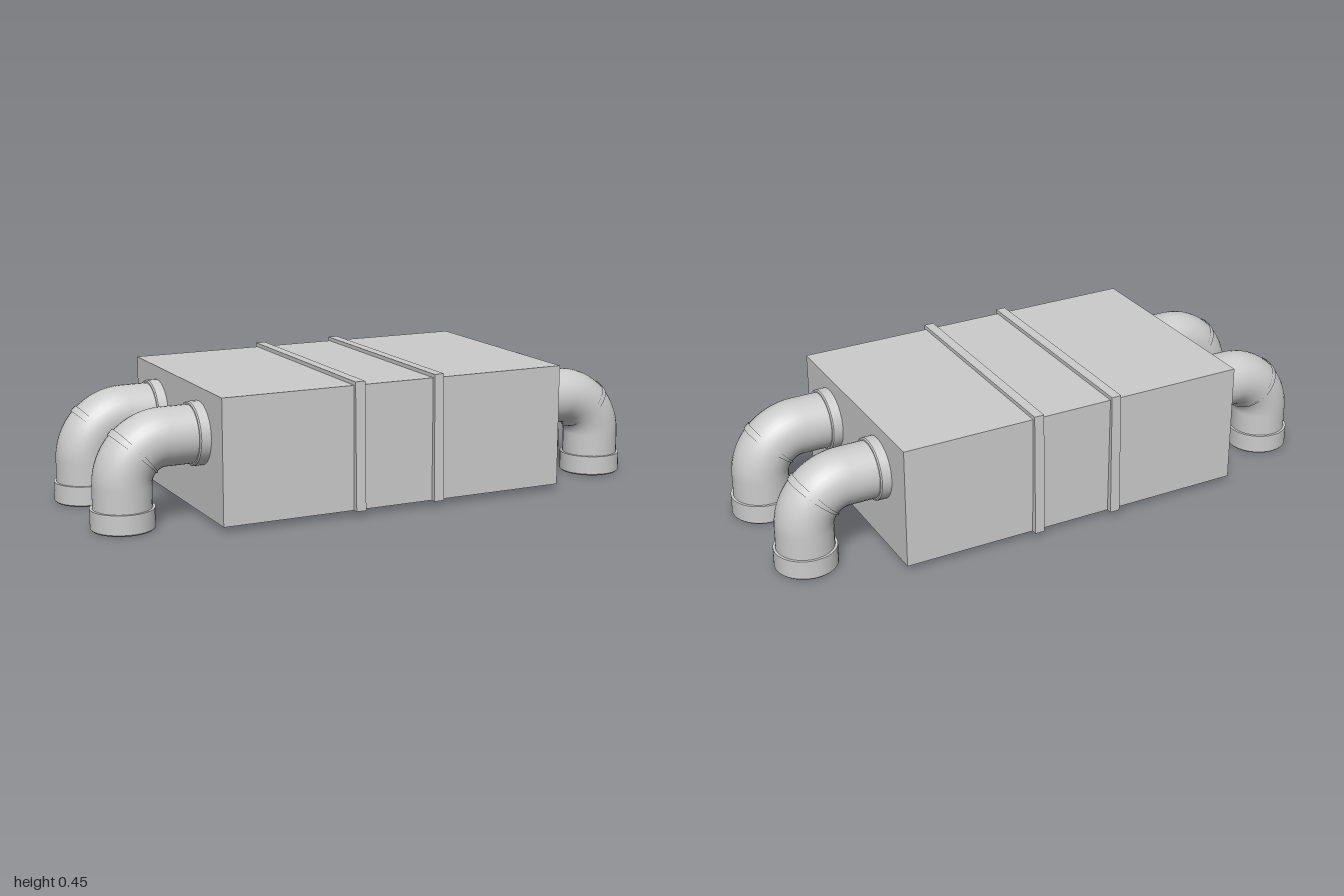
import * as THREE from 'three';

const material = new THREE.MeshStandardMaterial({ color: 0xcccccc, side: THREE.DoubleSide });

function add(parent, name, geometry, x = 0, y = 0, z = 0) {
  const mesh = new THREE.Mesh(geometry, material);
  mesh.name = name;
  mesh.position.set(x, y, z);
  parent.add(mesh);
  return mesh;
}

// Closed ring with a small bevel on its lower rim, from y = 0 up to h
function collarGeometry(r, h, bevel) {
  const rims = [[0, 0], [r - bevel, 0], [r - bevel, 0], [r, bevel], [r, bevel], [r, h], [r, h], [0, h]];
  return new THREE.LatheGeometry(rims.map(([x, y]) => new THREE.Vector2(x, y)), 32);
}

const PIPE = 0.097, COLLAR = 0.106, BEND = 0.143;
const CX = 0.75, CY = 0.145; // centre of the bend

// Pipe leaving the +x wall and turning down to the floor
function createPipe() {
  const pipe = new THREE.Group();
  const axisY = CY + BEND, axisX = CX + BEND;

  const wall = add(pipe, 'wallCollar', collarGeometry(COLLAR, 0.04, 0.004), 0.662, axisY);
  wall.rotation.z = Math.PI / 2;

  const run = add(pipe, 'horizontalPipe',
    new THREE.CylinderGeometry(PIPE, PIPE, CX - 0.62, 32, 1, true), (CX + 0.62) / 2, axisY);
  run.rotation.z = Math.PI / 2;

  add(pipe, 'elbow', new THREE.TorusGeometry(BEND, PIPE, 32, 16, Math.PI / 2), CX, CY);

  // Slightly raised joint across the middle of the elbow
  const arc = 0.1;
  const joint = add(pipe, 'elbowJoint', new THREE.TorusGeometry(BEND, PIPE + 0.004, 32, 3, arc), CX, CY);
  joint.rotation.z = Math.PI / 4 - arc / 2;

  add(pipe, 'verticalPipe',
    new THREE.CylinderGeometry(PIPE, PIPE, CY - 0.04, 32, 1, true), axisX, (CY + 0.04) / 2);
  add(pipe, 'endCollar', collarGeometry(COLLAR, 0.07, 0.005), axisX, 0);
  return pipe;
}

export function createModel() {
  const model = new THREE.Group();
  model.name = 'ductBox';

  // Main housing
  add(model, 'housing', new THREE.BoxGeometry(1.25, 0.42, 0.8), 0, 0.23, 0);

  // Straps over the housing, a little wider at the foot
  const strapWidth = 0.035;
  const section = new THREE.Shape();
  section.moveTo(-0.42, 0.02);
  section.lineTo(0.42, 0.02);
  section.lineTo(0.41, 0.453);
  section.lineTo(-0.41, 0.453);
  section.closePath();
  const strapGeometry = new THREE.ExtrudeGeometry(section, { depth: strapWidth, bevelEnabled: false });
  strapGeometry.translate(0, 0, -strapWidth / 2).rotateY(Math.PI / 2);
  for (const x of [-0.146, 0.146]) add(model, 'strap', strapGeometry, x);

  // Two pipes on each end
  for (const side of [1, -1]) {
    for (const z of [0.2, -0.195]) {
      const pipe = createPipe();
      pipe.name = side > 0 ? 'leftPipe' : 'rightPipe';
      pipe.rotation.y = side > 0 ? 0 : Math.PI;
      pipe.position.z = z;
      model.add(pipe);
    }
  }
  return model;
}
